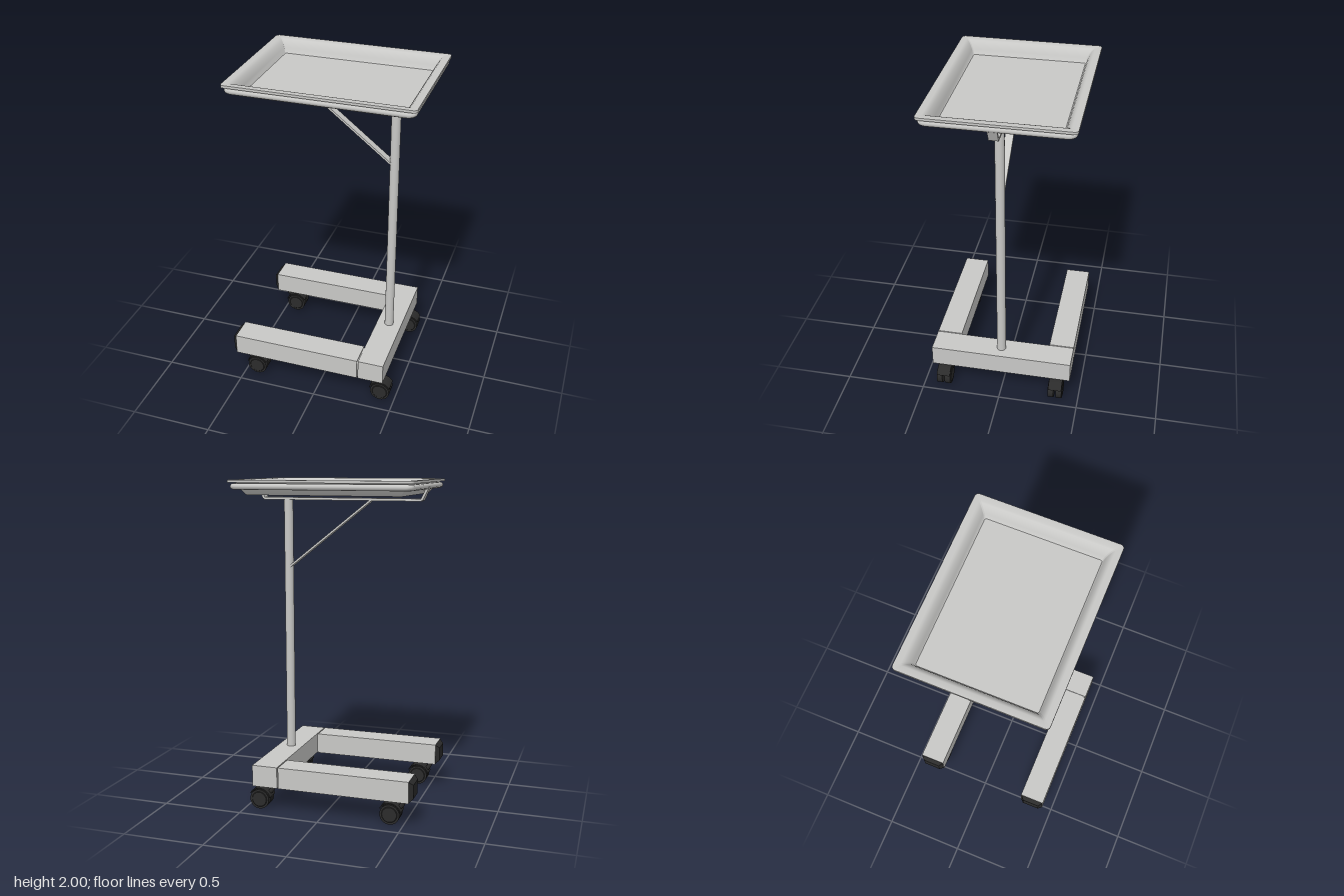
import * as THREE from 'three';
import { toCreasedNormals } from 'three/addons/utils/BufferGeometryUtils.js';

const steel = new THREE.MeshStandardMaterial({ color: 0xc8c8c6 });
steel.name = 'brushed steel';
const rubber = new THREE.MeshStandardMaterial({ color: 0x2b2b2b });
rubber.name = 'black rubber';

const TRAY = { x: 0.01, z: -0.011, halfX: 0.555, halfZ: 0.432 };
const POST = { x: 0.353, z: 0.008 };

function add(parent, name, geometry, material, x = 0, y = 0, z = 0) {
  const mesh = new THREE.Mesh(geometry, material);
  mesh.name = name;
  mesh.position.set(x, y, z);
  parent.add(mesh);
  return mesh;
}

// Sweeps a profile of [inset, height] points round a rounded rectangle.
// An inset of null collapses the ring to the centre.
function rectSweep(profile, halfX, halfZ, radius, crease) {
  const perCorner = 6;
  const n = perCorner * 4;
  const pos = [];
  const index = [];
  for (const [inset, y] of profile) {
    for (let j = 0; j < n; j++) {
      if (inset === null) { pos.push(0, y, 0); continue; }
      const corner = Math.floor(j / perCorner);
      const a = (corner + (j % perCorner) / (perCorner - 1)) * Math.PI / 2;
      const sx = corner === 0 || corner === 3 ? 1 : -1;
      const sz = corner < 2 ? 1 : -1;
      const r = Math.max(radius - inset * 0.5, 0.01);
      pos.push(sx * (halfX - inset - r) + r * Math.cos(a), y,
        sz * (halfZ - inset - r) + r * Math.sin(a));
    }
  }
  for (let i = 0; i < profile.length - 1; i++) {
    for (let j = 0; j < n; j++) {
      const k = (j + 1) % n;
      const a = i * n + j, b = i * n + k, c = a + n, d = b + n;
      if (profile[i][0] !== null) index.push(a, c, b);
      if (profile[i + 1][0] !== null) index.push(b, c, d);
      else if (profile[i][0] !== null) continue;
      if (profile[i][0] === null) continue;
    }
  }
  const g = new THREE.BufferGeometry();
  g.setAttribute('position', new THREE.Float32BufferAttribute(pos, 3));
  g.setIndex(index);
  g.computeVertexNormals();
  return toCreasedNormals(g, crease);
}

// Flat bar between two points in the xy plane.
function flatBar(parent, name, [x0, y0], [x1, y1], thickness, width) {
  const length = Math.hypot(x1 - x0, y1 - y0);
  const bar = add(parent, name, new THREE.BoxGeometry(length, thickness, width), steel,
    (x0 + x1) / 2, (y0 + y1) / 2, POST.z);
  bar.rotation.z = Math.atan2(y1 - y0, x1 - x0);
}

function makeCaster(x, z) {
  const caster = new THREE.Group();
  caster.name = 'caster';
  caster.position.set(x, 0.061, z);

  // Twin wheels with small hub discs
  for (const side of [-1, 1]) {
    const wheel = new THREE.CylinderGeometry(0.061, 0.061, 0.036, 28).rotateX(Math.PI / 2);
    add(caster, 'wheel', wheel, rubber, 0, 0, side * 0.026);
    const hub = new THREE.CylinderGeometry(0.045, 0.05, 0.004, 24).rotateX(side * Math.PI / 2);
    add(caster, 'hub', hub, rubber, 0, 0, side * 0.045);
  }
  add(caster, 'axle', new THREE.CylinderGeometry(0.02, 0.02, 0.06, 12).rotateX(Math.PI / 2), rubber);

  // Curved hood over the wheels
  const hood = new THREE.Shape();
  hood.absarc(0, 0, 0.071, 0.5, 2.9, false);
  hood.absarc(0, 0, 0.065, 2.9, 0.5, true);
  const hoodGeo = new THREE.ExtrudeGeometry(hood, { depth: 0.084, bevelEnabled: false, curveSegments: 14 });
  add(caster, 'hood', hoodGeo, rubber, 0, 0, -0.042);

  // Bent stem running up into the base
  const bend = new THREE.CatmullRomCurve3([
    new THREE.Vector3(-0.076, 0.105, 0), new THREE.Vector3(-0.076, 0.075, 0),
    new THREE.Vector3(-0.06, 0.045, 0), new THREE.Vector3(-0.02, 0.015, 0),
  ]);
  add(caster, 'stem', new THREE.TubeGeometry(bend, 14, 0.014, 10), rubber);
  return caster;
}

export function createModel() {
  const model = new THREE.Group();
  model.name = 'rollingTrayTable';

  // Tray: underside, rim, then the curved inner wall and floor
  const trayProfile = [
    [null, 1.912], [0.087, 1.912], [0.06, 1.945], [0.042, 1.985], [0, 1.985], [0, 2],
    [0.036, 2], [0.046, 1.996], [0.056, 1.986], [0.066, 1.971], [0.076, 1.95],
    [0.084, 1.925], [0.088, 1.92], [null, 1.92],
  ];
  add(model, 'tray', rectSweep(trayProfile, TRAY.halfX, TRAY.halfZ, 0.022, 0.6), steel, TRAY.x, 0, TRAY.z);

  // Round tube frame beneath the rim
  const tubeProfile = [];
  for (let i = 0; i <= 12; i++) {
    const a = i / 12 * Math.PI * 2;
    tubeProfile.push([0.018 - 0.018 * Math.cos(a), 1.962 + 0.018 * Math.sin(a)]);
  }
  add(model, 'trayFrame', rectSweep(tubeProfile, 0.548, 0.426, 0.045, 1), steel, TRAY.x, 0, TRAY.z);

  // Bent support bar and diagonal brace
  const support = [[-0.532, 1.962], [-0.493, 1.881], [0.505, 1.881], [0.545, 1.962]];
  for (let i = 0; i < 3; i++) flatBar(model, 'traySupport', support[i], support[i + 1], 0.015, 0.055);
  flatBar(model, 'brace', [-0.185, 1.88], [0.338, 1.464], 0.012, 0.05);

  // Upright post
  add(model, 'post', new THREE.CylinderGeometry(0.028, 0.028, 1.6, 28), steel, POST.x, 1.08, POST.z);

  // Base: cross bar and two legs with tapered end caps
  add(model, 'crossBar', new THREE.BoxGeometry(0.16, 0.132, 0.888), steel, 0.355, 0.226, 0);
  for (const side of [-1, 1]) {
    const z = side * 0.366;
    add(model, 'leg', new THREE.BoxGeometry(0.81, 0.132, 0.156), steel, -0.137, 0.226, z);
    add(model, 'legJoint', new THREE.BoxGeometry(0.03, 0.12, 0.136), steel, 0.27, 0.226, z);

    let cap = new THREE.BoxGeometry(0.026, 0.13, 0.154);
    const p = cap.attributes.position;
    for (let i = 0; i < p.count; i++) {
      if (p.getX(i) < 0) p.setXYZ(i, p.getX(i), p.getY(i) * 0.66, p.getZ(i) * 0.7);
    }
    cap = toCreasedNormals(cap, 0.1);
    add(model, 'legCap', cap, rubber, -0.553, 0.226, z);
  }

  // Four casters
  for (const x of [-0.417, 0.41]) {
    for (const z of [-0.355, 0.37]) model.add(makeCaster(x, z));
  }
  return model;
}
